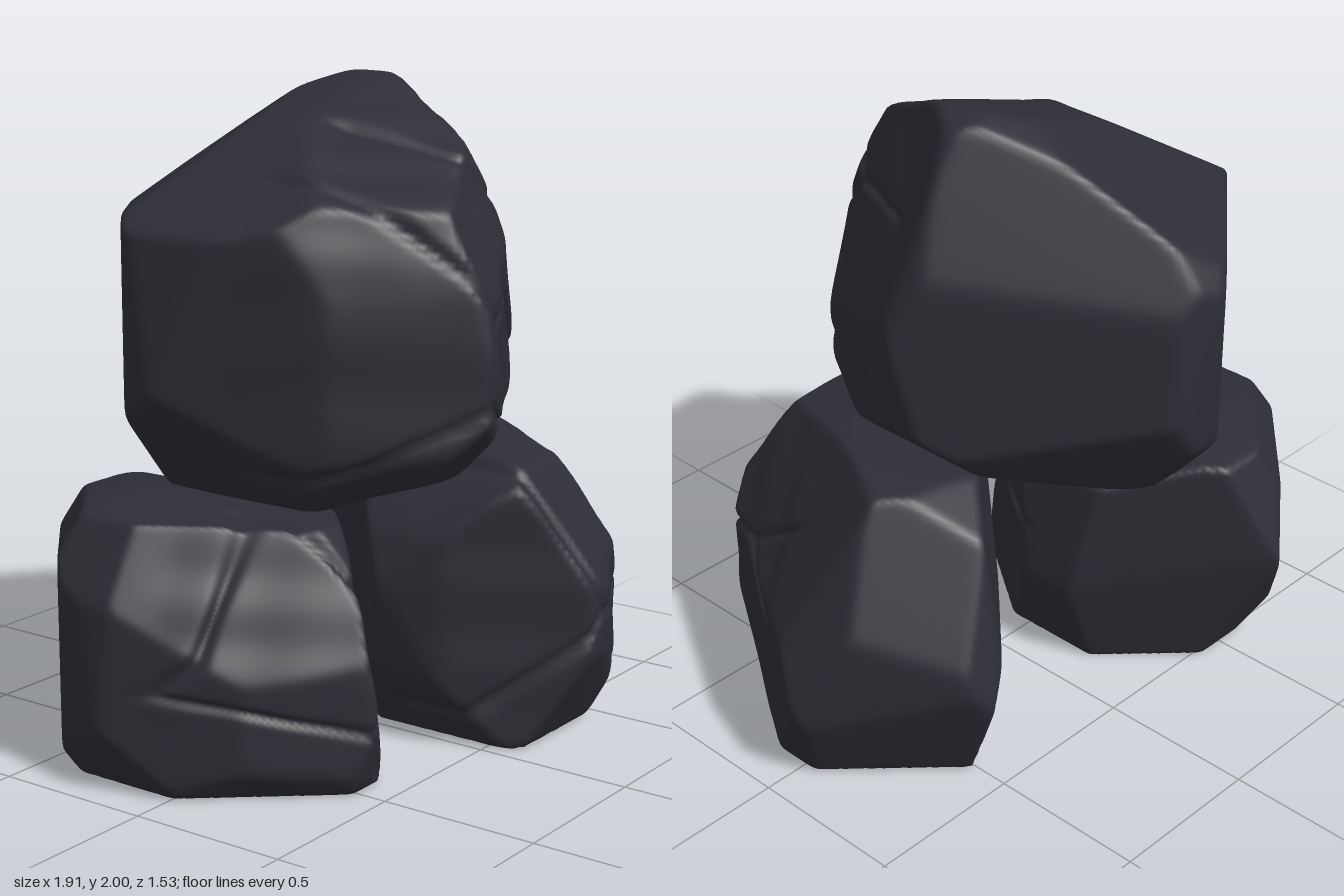
import * as THREE from 'three';
import { mergeVertices } from 'three/addons/utils/BufferGeometryUtils.js';

const stone = new THREE.MeshStandardMaterial({ color: 0x2d2d36 });
stone.name = 'dark stone';

// Cutting planes along each edge of an outline; lift turns an outline point into 3D
function outlinePlanes(points, lift, centre) {
  const inside = points.reduce((m, p) => [m[0] + p[0] / points.length, m[1] + p[1] / points.length], [0, 0]);
  return points.map((a, i) => {
    const b = points[(i + 1) % points.length];
    const normal = lift(b[1] - a[1], a[0] - b[0]).normalize();
    if (normal.dot(lift(a[0] - inside[0], a[1] - inside[1])) < 0) normal.negate();
    const reach = Math.max(...points.map(p => normal.dot(lift(p[0], p[1]))));
    return { normal, dist: reach - normal.dot(centre) };
  });
}

// Distance from (x, y) to the nearest border between plates, each given by its middle
function plateBorder(x, y, plates) {
  const [first, second] = plates.map(p => Math.hypot(x - p[0], y - p[1])).sort((a, b) => a - b);
  return (second - first) / 2;
}

// A boulder: slightly softened intersection of three outlines and extra facets
// (normal x, y, z and distance from the centre), with a cracked front
function boulder(name, { centre, front, side, top, facets, plates }) {
  const c = new THREE.Vector3(...centre);
  const planes = [
    ...outlinePlanes(front, (x, y) => new THREE.Vector3(x, y, 0), c),
    ...outlinePlanes(side, (z, y) => new THREE.Vector3(0, y, z), c),
    ...outlinePlanes(top, (x, z) => new THREE.Vector3(x, 0, z), c),
    ...facets.map(([x, y, z, dist]) => ({ normal: new THREE.Vector3(x, y, z).normalize(), dist })),
  ];
  let geo = new THREE.IcosahedronGeometry(1, 47);
  geo.deleteAttribute('normal');
  geo.deleteAttribute('uv');
  geo = mergeVertices(geo, 1e-5);

  const pos = geo.attributes.position;
  const dir = new THREE.Vector3();
  const p = new THREE.Vector3();
  const sharpness = 100;
  for (let i = 0; i < pos.count; i++) {
    dir.fromBufferAttribute(pos, i).normalize();
    let sum = 0;
    for (const { normal, dist } of planes) sum += Math.max(0, normal.dot(dir) / dist) ** sharpness;
    p.copy(c).addScaledVector(dir, sum ** (-1 / sharpness));

    // Cracks between plates and slight unevenness, fading out towards the back and base
    const weathering = THREE.MathUtils.smoothstep(p.z - c.z, 0.02, 0.15) * THREE.MathUtils.smoothstep(p.y, 0.01, 0.05);
    const crack = 0.018 * Math.exp(-((plateBorder(p.x, p.y, plates) / 0.012) ** 2));
    const bumps = 0.005 * Math.sin(p.x * 17 + p.y * 9) * Math.sin(p.y * 15 - p.z * 12);
    p.addScaledVector(dir, -weathering * (crack + bumps));
    pos.setXYZ(i, p.x, p.y, p.z);
  }
  geo.computeVertexNormals();
  const mesh = new THREE.Mesh(geo, stone);
  mesh.name = name;
  return mesh;
}

export function createModel() {
  const group = new THREE.Group();
  group.name = 'boulderPile';

  // Large boulder resting on the other two
  group.add(boulder('upperBoulder', {
    centre: [-0.07, 1.35, -0.06],
    front: [[-0.705, 1.13], [-0.645, 1.59], [-0.2, 1.87], [0.22, 2.01], [0.32, 1.98], [0.42, 1.82], [0.56, 1.37],
      [0.505, 1.06], [0.34, 0.91], [-0.15, 0.76], [-0.44, 0.79]],
    side: [[0.685, 1.1], [0.635, 1.57], [0.42, 1.8], [0.05, 2.01], [-0.14, 2.01], [-0.4, 1.89], [-0.62, 1.75],
      [-0.77, 1.52], [-0.715, 1], [-0.55, 0.81], [0.1, 0.76], [0.5, 0.89]],
    top: [[-0.11, -0.77], [-0.63, -0.35], [-0.705, -0.2], [-0.53, 0.31], [-0.22, 0.67], [0.34, 0.37],
      [0.56, -0.1], [0.03, -0.73]],
    facets: [[0.8, 0.35, 0.5, 0.51], [0.65, 0.32, -0.6, 0.54], [-0.29, 0.91, 0.3, 0.52], [-0.3, 0.82, -0.48, 0.545],
      [0.25, 0.4, 0.85, 0.61], [-0.7, 0.25, 0.6, 0.59], [-0.55, -0.6, 0.5, 0.7], [0.45, -0.7, 0.55, 0.61],
      [0.55, -0.5, -0.6, 0.59], [-0.55, -0.45, -0.6, 0.67]],
    plates: [[0.03, 1.2], [-0.02, 1.54], [-0.38, 1.3], [0.34, 1.48], [0.24, 1.82], [-0.1, 0.9]],
  }));

  // Tall boulder at the model's left, nearer the front
  group.add(boulder('lowerLeftBoulder', {
    centre: [0.4, 0.45, 0.13],
    front: [[-0.135, 0.5], [-0.08, 0.66], [0.02, 0.79], [0.16, 0.89], [0.58, 0.95], [0.68, 0.925], [0.955, 0.3],
      [0.85, 0], [0.04, 0], [-0.08, 0.2]],
    side: [[0.77, 0.3], [0.765, 0.5], [0.7, 0.68], [0.55, 0.86], [0.1, 0.95], [-0.2, 0.935], [-0.4, 0.81],
      [-0.52, 0.28], [-0.43, 0], [0.6, 0]],
    top: [[0.55, -0.525], [0.35, -0.39], [-0.135, 0.2], [-0.08, 0.4], [0.2, 0.77], [0.28, 0.77], [0.54, 0.64],
      [0.955, -0.06], [0.62, -0.5]],
    facets: [[0.75, 0.5, 0.4, 0.34], [0.1, 0.5, 0.8, 0.55], [0.6, 0.4, -0.6, 0.54], [-0.65, 0.12, -0.65, 0.365],
      [-0.65, -0.2, -0.65, 0.37], [0.65, -0.4, 0.55, 0.5], [0.6, -0.35, -0.6, 0.58]],
    plates: [[0.42, 0.66], [0.88, 0.58], [0.64, 0.26], [0.36, 0.16], [-0.02, 0.5]],
  }));

  // Squat boulder at the model's right, set further back
  group.add(boulder('lowerRightBoulder', {
    centre: [-0.5, 0.4, -0.14],
    front: [[-0.965, 0.2], [-0.945, 0.57], [-0.82, 0.79], [-0.6, 0.81], [-0.35, 0.79], [-0.1, 0.69], [-0.04, 0.3],
      [-0.15, 0], [-0.85, 0]],
    side: [[0.475, 0.2], [0.445, 0.5], [0.25, 0.76], [-0.4, 0.81], [-0.62, 0.77], [-0.755, 0.42], [-0.52, 0], [0.4, 0]],
    top: [[-0.48, -0.755], [-0.35, -0.61], [-0.05, -0.28], [-0.04, -0.08], [-0.41, 0.43], [-0.5, 0.475],
      [-0.77, 0.2], [-0.965, -0.18], [-0.92, -0.36]],
    facets: [[-0.7, 0.4, 0.6, 0.37], [0.6, 0.12, 0.6, 0.415], [-0.5, 0.5, -0.6, 0.52], [-0.6, -0.5, 0.5, 0.52],
      [-0.4, -0.5, -0.6, 0.53], [0.6, -0.2, -0.6, 0.42]],
    plates: [[-0.9, 0.62], [-0.62, 0.45], [-0.22, 0.62], [-0.2, 0.28], [-0.75, 0.05]],
  }));
  return group;
}
